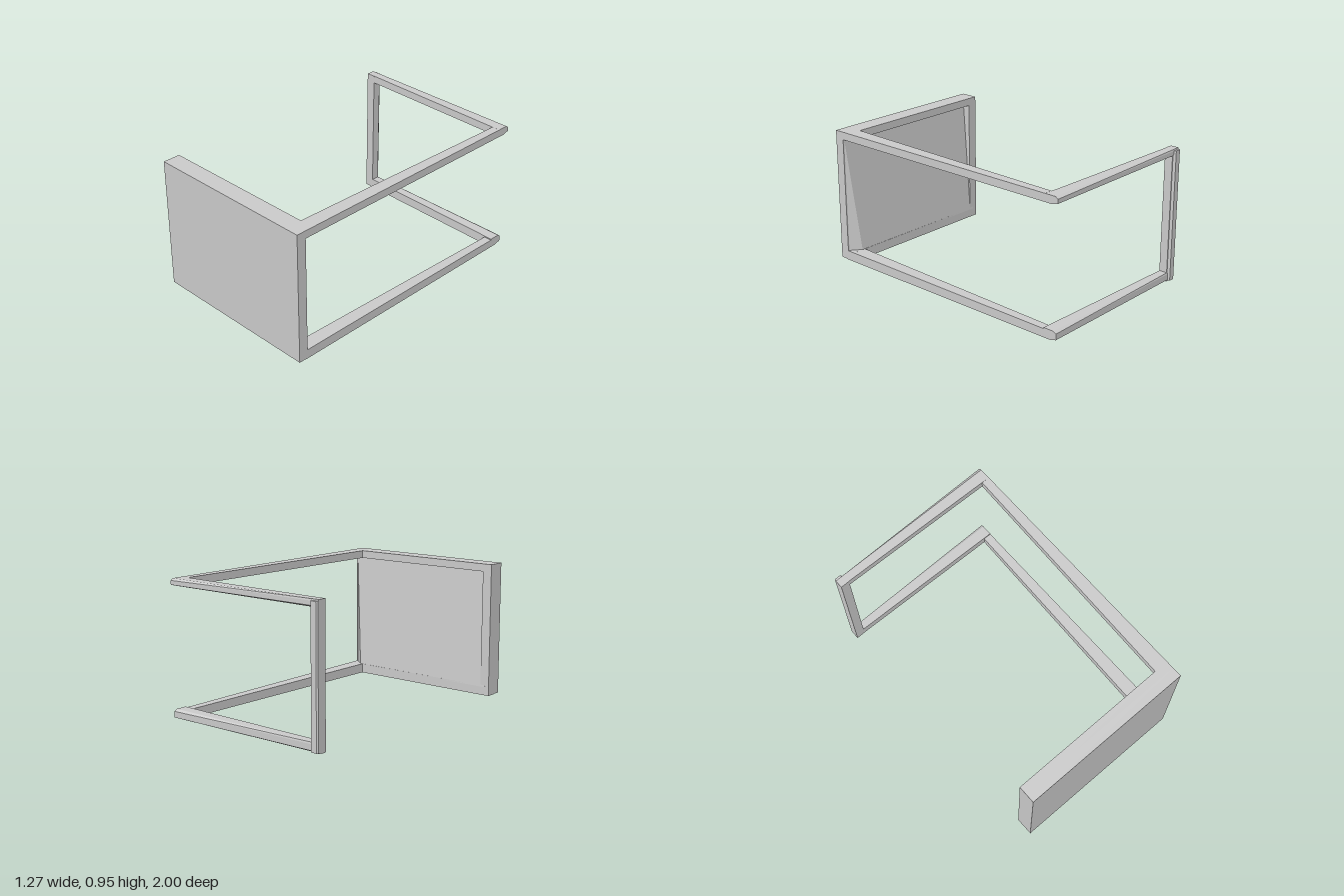
import * as THREE from 'three';
import { ConvexGeometry } from 'three/addons/geometries/ConvexGeometry.js';

export function createModel() {
  const model = new THREE.Group();
  const material = new THREE.MeshStandardMaterial({ color: 0xcccccc, flatShading: true });

  // Straight-edged solid spanned by its corner points
  const solid = (name, corners) => {
    const points = corners.map((c) => new THREE.Vector3(...c));
    const mesh = new THREE.Mesh(new ConvexGeometry(points), material);
    mesh.name = name;
    model.add(mesh);
  };
  // Plan outline [x, z] extruded between two heights
  const slab = (name, plan, y0, y1) =>
    solid(name, plan.flatMap(([x, z]) => [[x, y0, z], [x, y1, z]]));

  const W = 0.635, H = 0.955;

  // Front panel
  slab('frontPanel', [[-W, 1], [W, 1], [W, 0.93], [-W, 0.93]], 0.003, H);

  // Inner face of the panel, leaning back towards its foot
  solid('panelInnerSlope', [
    [-0.6, 0.9, 0.93], [0.625, 0.9, 0.93],
    [-0.6, 0.06, 0.93], [0.625, 0.06, 0.93],
    [-0.6, 0.06, 0.872], [0.55, 0.06, 0.872],
  ]);

  // Rim along the closed side of the panel
  slab('panelSideRim', [[-W, 0.94], [-0.565, 0.94], [-0.565, 0.873], [-W, 0.873]], 0.003, H);

  // Upper and lower rims and side rails
  for (const [level, y0, y1] of [['upper', 0.9, H], ['lower', 0, 0.068]]) {
    slab(level + 'PanelRim', [[-W, 0.95], [W, 0.95], [W, 0.87], [-W, 0.873]], y0, y1);
    const rise = level === 'upper' ? 0.01 : -0.008;
    solid(level + 'SideRail', [
      [0.53, y0, 0.9], [W, y0, 0.9], [0.53, y1, 0.9], [W, y1, 0.9],
      [0.575, y0, -0.9], [W, y0, -0.9],
      [0.575, y1 + Math.min(rise, 0), -0.9], [W, y1 + Math.min(rise, 0), -0.9],
    ]);

    // Back rail, bevelled on its outer edges
    const bevelTop = y1 - 0.013, bevelLow = y0 + 0.013;
    solid(level + 'BackRail', [
      [W, y0, -0.9], [W, y1, -0.9], [W, y1, -0.98],
      [W, bevelTop, -1], [W, bevelLow, -1], [W, y0, -0.95],
      [-W, y0, -0.925], [-W, y1, -0.925], [-W, y1, -0.982],
      [-W, bevelTop, -0.985], [-W, bevelLow, -0.985], [-W, y0, -0.96],
    ]);
  }

  // Back post with a raised outer strip
  slab('backPost', [[-W, -0.922], [-0.57, -0.922], [-0.57, -0.982], [-W, -0.982]], 0.003, H);
  slab('backPostStrip', [[-W, -0.97], [-0.57, -0.97], [-0.585, -1], [-0.627, -1], [-W, -0.99]], 0.008, 0.945);

  return model;
}
